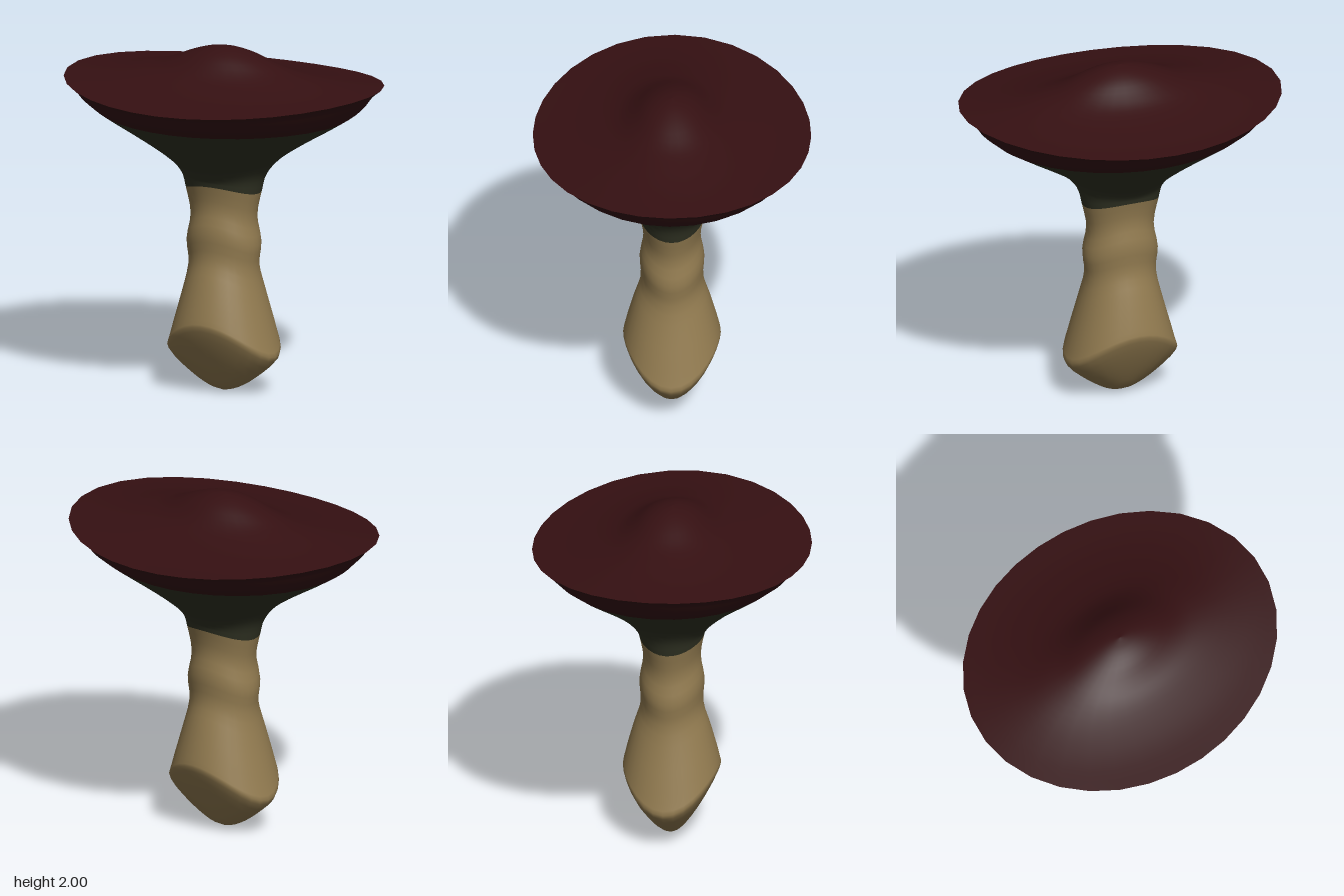
import * as THREE from 'three';

const SIDES = 32;
const STEPS = 3; // smooth rings between two given sections

const mat = (name, color) => {
  const m = new THREE.MeshStandardMaterial({ color });
  m.name = name;
  return m;
};

// Skin through oval sections listed from top to bottom.
// Section: [x radius, height at the sides, z radius, height at front and back].
function ovalSkin(sections) {
  const curve = (k) => new THREE.CatmullRomCurve3(
    sections.map((s) => new THREE.Vector3(s[k], s[k + 1], 0)), false, 'catmullrom', 0.5);
  const side = curve(0), front = curve(2);
  const rows = (sections.length - 1) * STEPS;
  const pos = [], index = [];
  for (let i = 0; i <= rows; i++) {
    const p = side.getPoint(i / rows), q = front.getPoint(i / rows);
    for (let j = 0; j < SIDES; j++) {
      const u = (j / SIDES) * Math.PI * 2;
      const a = u + 0.045 * Math.sin(2 * u);
      const c = Math.cos(a), s = Math.sin(a);
      pos.push(p.x * c, p.y * c * c + q.y * s * s, q.x * s);
      if (i === rows) continue;
      const k = (j + 1) % SIDES, r = i * SIDES;
      index.push(r + j, r + k, r + SIDES + j, r + k, r + SIDES + k, r + SIDES + j);
    }
  }
  const g = new THREE.BufferGeometry();
  g.setAttribute('position', new THREE.Float32BufferAttribute(pos, 3));
  g.setIndex(index);
  g.computeVertexNormals();
  return g;
}

export function createModel() {
  const red = mat('dark red', 0x351012);
  const green = mat('gill green', 0x303223);
  const tan = mat('stem tan', 0x927b50);
  const group = new THREE.Group();
  group.name = 'mushroom';

  // Saddle-shaped cap with a ridge along x
  const cap = new THREE.Mesh(ovalSkin([
    [0, 2, 0, 2],
    [0.1, 1.987, 0.075, 1.985],
    [0.22, 1.95, 0.15, 1.95],
    [0.37, 1.89, 0.23, 1.89],
    [0.5, 1.86, 0.31, 1.842],
    [0.65, 1.832, 0.43, 1.805],
    [0.8, 1.815, 0.6, 1.77],
    [0.94, 1.805, 0.787, 1.748],
  ]), red);
  cap.name = 'capTop';

  // Cap underside, gills and stem share one smooth skin
  const underside = [
    [0.94, 1.805, 0.787, 1.748],
    [0.89, 1.765, 0.745, 1.715],
    [0.84, 1.70, 0.70, 1.665],
    [0.745, 1.62, 0.62, 1.603],
  ];
  const gills = [
    [0.5, 1.475, 0.4, 1.44],
    [0.34, 1.37, 0.27, 1.33],
    [0.255, 1.27, 0.205, 1.26],
    [0.225, 1.165, 0.184, 1.213],
  ];
  const stem = [
    [0.196, 1.01, 0.162, 1.08],
    [0.22, 0.86, 0.183, 0.94],
    [0.208, 0.72, 0.177, 0.79],
    [0.25, 0.53, 0.218, 0.65],
    [0.315, 0.29, 0.268, 0.46],
    [0.325, 0.2, 0.268, 0.39],
    [0.2, 0.09, 0.185, 0.22],
    [0.09, 0.025, 0.075, 0.05],
    [0, 0, 0, 0],
  ];
  const skin = ovalSkin([...underside, ...gills, ...stem]);
  const perSection = STEPS * SIDES * 6;
  let start = 0;
  [underside.length - 1, gills.length, stem.length].forEach((n, i) => {
    skin.addGroup(start, n * perSection, i);
    start += n * perSection;
  });
  const body = new THREE.Mesh(skin, [red, green, tan]);
  body.name = 'undersideGillsAndStem';

  group.add(cap, body);
  return group;
}
